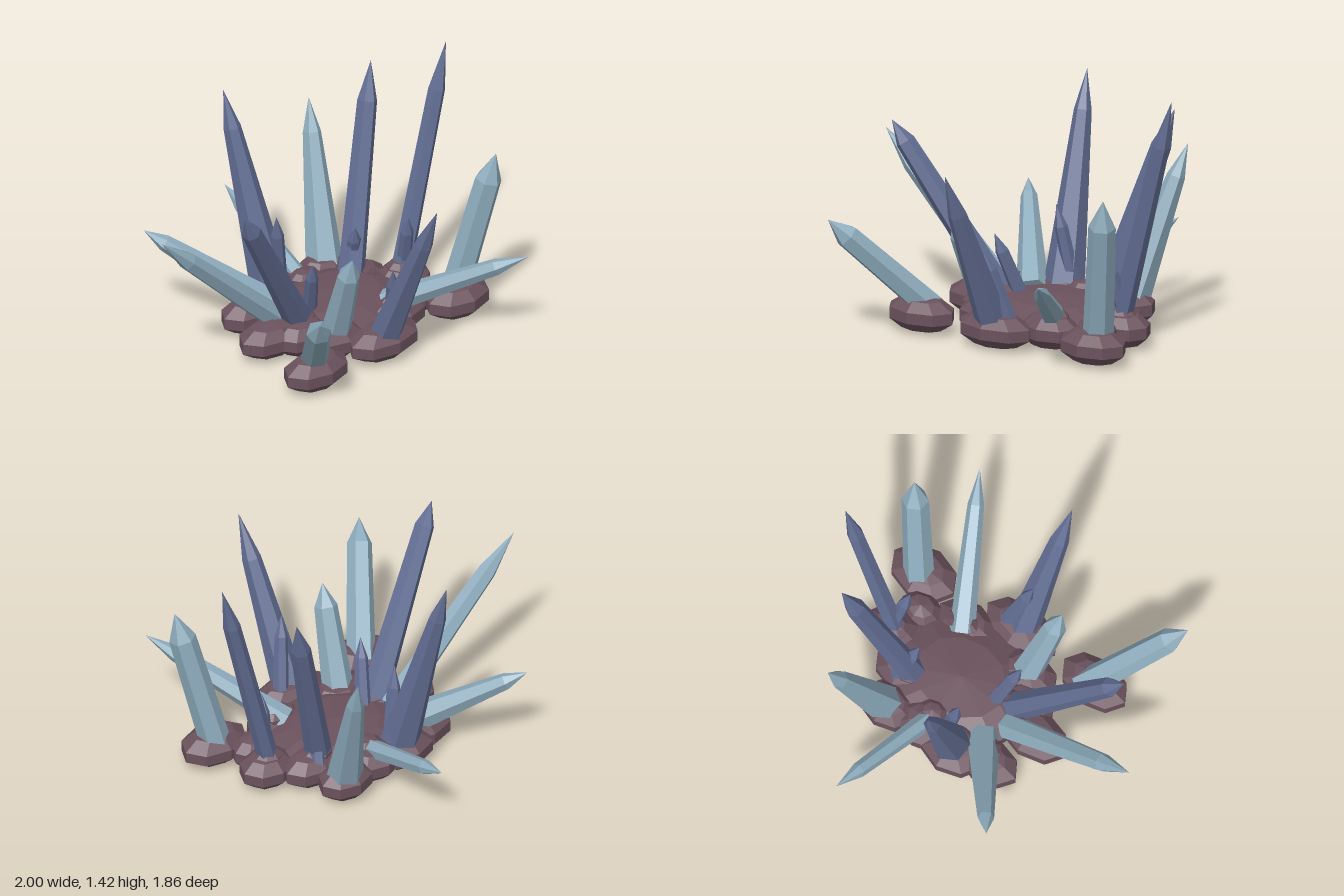
import * as THREE from 'three';

const paleBlue = new THREE.MeshStandardMaterial({ name: 'pale blue crystal', color: 0x8eacbd, flatShading: true });
const indigo = new THREE.MeshStandardMaterial({ name: 'indigo crystal', color: 0x626d92, flatShading: true });
const rock = new THREE.MeshStandardMaterial({ name: 'plum rock', color: 0x6b525d, flatShading: true });

// Six-sided shard from base to tip; it tapers to a shoulder and then to a point
function crystal(name, material, base, tip, rBase, rShoulder, shoulder = 0.82) {
  const a = new THREE.Vector3(...base);
  const b = new THREE.Vector3(...tip);
  const dir = b.clone().sub(a).normalize();
  a.addScaledVector(dir, -0.08); // root sunk into the rock
  const length = a.distanceTo(b);
  const profile = [[0, 0], [rBase, 0], [rShoulder, length * shoulder], [0, length]]
    .map(([r, y]) => new THREE.Vector2(r, y));
  const mesh = new THREE.Mesh(new THREE.LatheGeometry(profile, 6), material);
  mesh.name = name;
  mesh.position.copy(a);
  mesh.quaternion.setFromUnitVectors(new THREE.Vector3(0, 1, 0), dir);
  return mesh;
}

// Squashed faceted boulder
function boulder(name, x, z, rx, rz, y = 0.11, ry = 0.1, sides = 8) {
  const mesh = new THREE.Mesh(new THREE.SphereGeometry(1, sides, 5), rock);
  mesh.name = name;
  mesh.position.set(x, y, z);
  mesh.scale.set(rx, ry, rz);
  return mesh;
}

export function createModel() {
  const model = new THREE.Group();
  model.name = 'crystalCluster';

  // Rock bed: a broad centre ringed by smaller boulders
  const rocks = new THREE.Group();
  rocks.name = 'rockBed';
  rocks.add(boulder('centreRock', 0.2, 0.03, 0.44, 0.37, 0.115, 0.105, 12));
  [
    [-0.36, 0.47, 0.215, 0.14], [0.135, 0.47, 0.24, 0.14], [0.74, 0.4, 0.21, 0.15],
    [-0.28, 0.04, 0.22, 0.14], [-0.17, -0.23, 0.21, 0.13], [0.01, -0.28, 0.2, 0.16],
    [0.2, -0.27, 0.19, 0.14], [0.43, -0.31, 0.17, 0.13], [0.48, -0.1, 0.19, 0.13],
    [0.67, 0.05, 0.17, 0.14], [0.62, 0.22, 0.13, 0.11], [0.38, 0.31, 0.19, 0.13],
    [-0.05, 0.28, 0.19, 0.14], [-0.15, 0.14, 0.18, 0.13],
  ].forEach(([x, z, rx, rz], i) => rocks.add(boulder(`edgeRock${i + 1}`, x, z, rx, rz)));
  // Small lumps around the crystal roots
  [
    [0.2, -0.22, 0.09, 0.08], [0.45, -0.11, 0.09, 0.07], [0.66, 0.05, 0.09, 0.08],
    [-0.14, -0.19, 0.1, 0.07], [0.39, 0.29, 0.1, 0.07], [-0.12, 0.09, 0.1, 0.08],
    [-0.2, 0, 0.08, 0.07],
  ].forEach(([x, z, rx, rz], i) => rocks.add(boulder(`rootRock${i + 1}`, x, z, rx, rz, 0.18, 0.055)));
  model.add(rocks);

  // Pale crystals: base, tip, base radius, shoulder radius, shoulder position
  [
    [[-0.22, 0.2, -0.02], [-1.0, 0.91, -0.05], 0.075, 0.052, 0.78],
    [[-0.13, 0.18, -0.2], [-0.53, 0.56, -0.69], 0.09, 0.045, 0.84],
    [[0.2, 0.18, -0.27], [0.295, 0.43, -0.935], 0.055, 0.042, 0.78],
    [[0.45, 0.18, -0.33], [0.605, 0.975, -0.61], 0.105, 0.05, 0.8],
    [[0.76, 0.18, 0.38], [0.905, 0.975, 0.53], 0.085, 0.074, 0.82],
    [[0.4, 0.2, 0.31], [0.77, 0.555, 0.925], 0.07, 0.045, 0.78],
    [[-0.05, 0.18, 0.3], [-0.12, 0.7, 0.5], 0.088, 0.063, 0.8],
    [[-0.36, 0.18, 0.46], [-0.695, 0.66, 0.855], 0.08, 0.068, 0.82],
  ].forEach(([b, t, ...s], i) => model.add(crystal(`paleCrystal${i + 1}`, paleBlue, b, t, ...s)));

  // Tall indigo crystals
  [
    [[0.02, 0.18, -0.29], [-0.05, 1.28, -0.58], 0.115, 0.048, 0.82],
    [[0.44, 0.2, -0.1], [0.76, 1.27, -0.29], 0.075, 0.055, 0.82],
    [[0.67, 0.2, 0.05], [0.995, 1.43, 0.045], 0.058, 0.047, 0.8],
    [[0.13, 0.18, 0.5], [0.125, 1.06, 0.9], 0.095, 0.052, 0.75],
    [[-0.14, 0.2, 0.09], [-0.705, 1.08, 0.28], 0.08, 0.054, 0.88],
  ].forEach(([b, t, ...s], i) => model.add(crystal(`indigoCrystal${i + 1}`, indigo, b, t, ...s)));

  // Slim side shoots beside the indigo crystals
  [
    [[0.08, 0.2, -0.28], [0.01, 0.62, -0.23]],
    [[0.48, 0.2, -0.14], [0.42, 0.47, -0.05]],
    [[0.68, 0.2, 0.05], [0.63, 0.53, 0.14]],
    [[0.21, 0.2, 0.46], [0.12, 0.57, 0.56]],
    [[-0.02, 0.2, 0.06], [-0.1, 0.53, 0.17]],
  ].forEach(([b, t], i) => model.add(crystal(`sideShoot${i + 1}`, indigo, b, t, 0.045, 0.036, 0.75)));

  return model;
}
